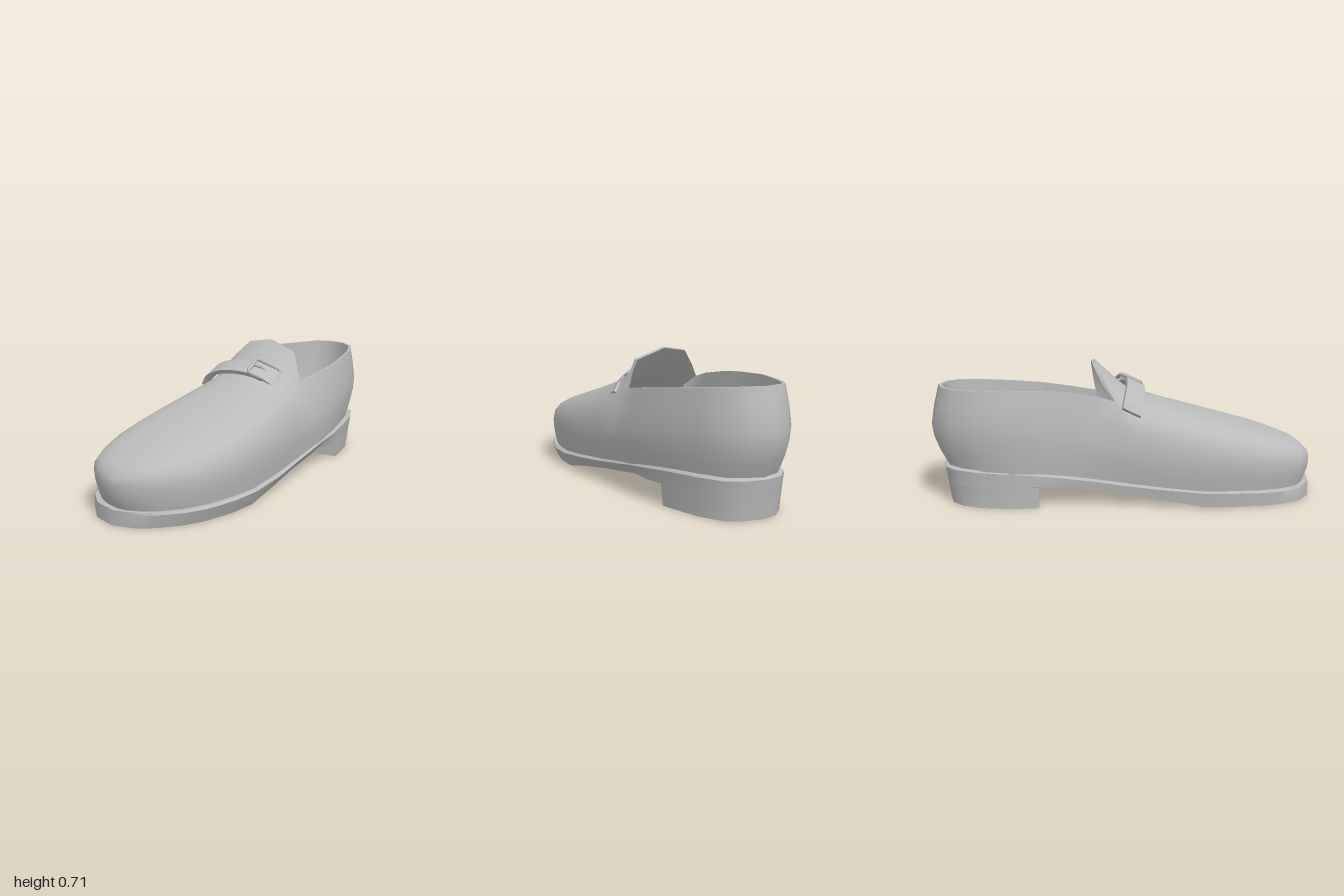
import * as THREE from 'three';
import { mergeGeometries, mergeVertices, toCreasedNormals } from 'three/addons/utils/BufferGeometryUtils.js';

const lerp = THREE.MathUtils.lerp;

// Surface through equal rows of [x, y, z] points
function loft(rows, closed = false) {
  const n = rows[0].length, index = [];
  for (let i = 0; i < rows.length - 1; i++) {
    for (let j = 0; j < (closed ? n : n - 1); j++) {
      const k = (j + 1) % n, a = i * n + j, b = i * n + k;
      index.push(a, b, b + n, a, b + n, a + n);
    }
  }
  const g = new THREE.BufferGeometry();
  g.setAttribute('position', new THREE.Float32BufferAttribute(rows.flat(2), 3));
  g.setIndex(index);
  return g;
}

// Fills a ring by bridging its right points to its left points
function cap(ring, up) {
  const n = ring.length, rows = [];
  for (let k = 0; k <= n / 2; k++) {
    const l = ring[(n - k) % n], r = ring[k];
    rows.push(up ? [l, r] : [r, l]);
  }
  return loft(rows);
}

// Piecewise linear lookup in a table of [z, value], z falling
function interp(table, z) {
  if (z >= table[0][0]) return table[0][1];
  for (let i = 1; i < table.length; i++) {
    const [z0, v0] = table[i - 1], [z1, v1] = table[i];
    if (z >= z1) return lerp(v0, v1, (z - z0) / (z1 - z0));
  }
  return table[table.length - 1][1];
}

const soleTop = z => interp([[1, 0.065], [0.4, 0.076], [0.2, 0.093], [0, 0.112], [-0.2, 0.138], [-0.4, 0.165], [-0.6, 0.183], [-0.8, 0.19]], z);
const soleBottom = z => interp([[0.38, 0], [0.15, 0.05], [-0.1, 0.08], [-0.3, 0.105], [-0.42, 0.11]], z);

// Sole outline [x, z]: toe, right side of the plan, heel, back along the other side
const outline = [
  [0, 1], [0.13, 0.955], [0.2, 0.89], [0.27, 0.8], [0.315, 0.7], [0.345, 0.55], [0.347, 0.4], [0.33, 0.2],
  [0.295, 0], [0.275, -0.15], [0.255, -0.3], [0.24, -0.45], [0.195, -0.62], [0.145, -0.77], [0.075, -0.89], [0, -0.93],
  [-0.11, -0.945], [-0.2, -0.92], [-0.27, -0.85], [-0.31, -0.74], [-0.33, -0.6], [-0.315, -0.42], [-0.305, -0.3], [-0.3, -0.15],
  [-0.31, 0], [-0.33, 0.2], [-0.34, 0.4], [-0.335, 0.55], [-0.32, 0.7], [-0.292, 0.81], [-0.242, 0.905], [-0.14, 0.975]];

// Ring of plan points narrowed by k about a pivot, pulling in the heel end too
const ringAt = (points, k, y, pivot = -0.03) => points.map(([px, pz]) => {
  const s = typeof k === 'function' ? k(pz) : k;
  const z = pz < -0.4 ? (pz + 0.4) * s - 0.4 : pz;
  return [(px - pivot) * s + pivot, typeof y === 'function' ? y(z) : y, z];
});

// Upper: lower side from base to widest point, shared by front and rear
const STEPS = 3;
function lowerSide(mx, my, mz) {
  const bx = mz < -0.4 ? (mx + 0.06) * 0.92 - 0.06 : mx * 0.94;
  const bz = mz < -0.4 ? (mz + 0.4) * 0.88 - 0.4 : mz - 0.05 * Math.max(0, mz - 0.4);
  const by = soleTop(bz);
  return Array.from({ length: STEPS + 1 }, (_, i) => {
    const t = i / STEPS, s = Math.sin(t * Math.PI / 2);
    return [lerp(bx, mx, s), lerp(by, my, t), lerp(bz, mz, s)];
  });
}

// Front cross-sections: z, left x, right x, widest height, top height
const frontSections = [
  [0.998, 0, 0, 0.17, 0.2], [0.987, -0.085, 0.06, 0.18, 0.225], [0.955, -0.165, 0.125, 0.19, 0.257],
  [0.91, -0.23, 0.18, 0.2, 0.287], [0.82, -0.282, 0.255, 0.21, 0.322], [0.7, -0.32, 0.305, 0.22, 0.362],
  [0.55, -0.341, 0.337, 0.235, 0.402], [0.4, -0.35, 0.345, 0.25, 0.443], [0.2, -0.335, 0.327, 0.26, 0.5],
  [0.02, -0.312, 0.3, 0.28, 0.557]];

// The inner side is squarer at the shoulder than the outer side
function frontHalf(z, mx, my, top) {
  const pts = lowerSide(mx, my, z), e = mx < 0 ? 0.7 : 0.8;
  for (let i = 1; i <= 5; i++) {
    const a = i / 5 * Math.PI / 2;
    pts.push([mx * Math.max(0, Math.cos(a)) ** e, my + (top - my) * Math.sin(a) ** e, z]);
  }
  return pts;
}

// Rear wall around the heel: widest point x, z, y then rim x, z, y
const rear = [
  [0.28, -0.15, 0.3, 0.21, -0.14, 0.51], [0.265, -0.3, 0.32, 0.215, -0.3, 0.535], [0.247, -0.45, 0.35, 0.212, -0.44, 0.555],
  [0.2, -0.62, 0.38, 0.17, -0.62, 0.575], [0.145, -0.78, 0.4, 0.125, -0.77, 0.59], [0.07, -0.925, 0.4, 0.06, -0.885, 0.6],
  [-0.01, -0.977, 0.4, -0.015, -0.935, 0.605], [-0.11, -1, 0.4, -0.11, -0.955, 0.605], [-0.21, -0.96, 0.4, -0.2, -0.925, 0.605],
  [-0.28, -0.88, 0.41, -0.255, -0.86, 0.6], [-0.33, -0.75, 0.42, -0.3, -0.74, 0.6], [-0.35, -0.6, 0.42, -0.315, -0.6, 0.605],
  [-0.325, -0.42, 0.39, -0.3, -0.42, 0.6], [-0.305, -0.3, 0.37, -0.28, -0.3, 0.59], [-0.3, -0.15, 0.34, -0.262, -0.15, 0.565],
  [-0.304, -0.06, 0.31, -0.255, -0.05, 0.535]];

// Raised edge of the tongue, from left x to right x
const tongue = [[-0.205, 0.61, -0.09], [-0.13, 0.695, -0.14], [0, 0.715, -0.155], [0.16, 0.66, -0.155], [0.185, 0.585, -0.145]];

function rearColumn([mx, mz, my, rx, rz, ry]) {
  const mid = (m, r) => (m + r) / 2 + 0.1 * (m - r);
  return [...lowerSide(mx, my, mz), [mid(mx, rx), (my + ry) / 2, mid(mz, rz)], [rx, ry, rz]];
}

function buildUpper() {
  const columns = rear.map(rearColumn);
  const rows = frontSections.map(([z, l, r, my, top]) =>
    [...frontHalf(z, l, my, top), ...frontHalf(z, r, my, top).slice(0, -1).reverse()]);
  rows.push([...columns[columns.length - 1], ...tongue, ...[...columns[0]].reverse()]);
  const wall = columns[0].map((_, i) => columns.map(c => c[i]));
  const g = mergeVertices(mergeGeometries([loft(rows), loft(wall)]), 1e-4);
  return toCreasedNormals(g, 1.2);
}

// Rim thickness, inner wall and the underside of the tongue
function buildLining() {
  const ring = (kx, kz, wallY, tx, ty, tz) => [
    ...rear.map(([, , , x, z, y]) =>
      [(x + 0.05) * kx - 0.05, wallY ?? y, z < -0.4 ? (z + 0.4) * kz - 0.4 : z]),
    ...tongue.map(([x, y, z]) => [x * tx, y + ty, z + tz])];
  return toCreasedNormals(loft([
    ring(1, 1, null, 1, 0, 0), ring(0.96, 0.97, null, 0.97, -0.005, -0.018),
    ring(0.96, 0.94, 0.45, 0.97, -0.13, 0.09), ring(0.95, 0.84, 0.25, 1.2, -0.26, 0.38)], true), 0.8);
}

// Flat band following a path over the instep
function buildStrap() {
  const path = new THREE.CatmullRomCurve3([
    [-0.288, 0.485, 0.03], [-0.25, 0.532, 0.04], [-0.15, 0.575, 0.055], [0, 0.588, 0.055],
    [0.1, 0.566, 0.03], [0.18, 0.516, 0], [0.235, 0.463, -0.035]].map(p => new THREE.Vector3(...p)));
  const across = new THREE.Vector3(0, -0.022, 0.045);
  const rows = path.getPoints(20).map((p, i) => {
    const up = across.clone().cross(path.getTangent(i / 20)).normalize().multiplyScalar(0.011);
    return [[1, -1], [1, 1], [-1, 1], [-1, -1]].map(([w, h]) =>
      p.clone().addScaledVector(across, w).addScaledVector(up, h).toArray());
  });
  const ends = [[rows[0], 1], [rows[20], 0]].map(([r, first]) =>
    loft(first ? [[r[0], r[3]], [r[1], r[2]]] : [[r[3], r[0]], [r[2], r[1]]]));
  return toCreasedNormals(mergeGeometries([loft(rows, true), ...ends]), 0.6);
}

// Round bar along straight pieces
function bar(points, radius, closed) {
  const v = points.map(p => new THREE.Vector3(...p));
  const curve = new THREE.CatmullRomCurve3(v, closed, 'catmullrom', 0.1);
  return new THREE.TubeGeometry(curve, closed ? 48 : 8, radius, 8, closed);
}

export function createModel() {
  const shoe = new THREE.Group();
  shoe.name = 'shoe';
  const leather = new THREE.MeshStandardMaterial({ color: 0xbbbbbb, side: THREE.DoubleSide });
  leather.name = 'grey leather';
  const add = (name, geometry) => {
    const mesh = new THREE.Mesh(geometry, leather);
    mesh.name = name;
    shoe.add(mesh);
  };

  add('upper', buildUpper());
  add('lining', buildLining());

  // Sole with a bevelled welt, narrower underneath
  const PIVOT = -0.2;
  const bottom = ringAt(outline, z => (z < -0.3 ? 0.975 : 0.935), soleBottom, PIVOT);
  const edge = ringAt(outline, 1, soleTop);
  const welt = ringAt(outline, 0.97, z => soleTop(z) + 0.01);
  add('sole', toCreasedNormals(mergeGeometries([
    loft([bottom, edge, welt], true), cap(bottom, false), cap(welt, true)]), 0.6));

  // Heel block with a slanted front face
  const heelPlan = [[-0.06, -0.49], [0.215, -0.54], ...outline.slice(12, 21), [-0.32, -0.44]];
  const heelLow = ringAt(heelPlan, 0.945, 0, PIVOT), heelHigh = ringAt(heelPlan, 0.975, 0.11, PIVOT);
  add('heel', toCreasedNormals(mergeGeometries([
    loft([heelLow, heelHigh], true), cap(heelLow, false)]), 0.6));

  // Insole inside the opening
  const insolePlan = outline.map(([x, z]) => [(x + 0.03) * 0.9 - 0.03, (z + 0.3) * 0.88 - 0.3]);
  add('insole', toCreasedNormals(cap(ringAt(insolePlan, 1, z => soleTop(z) + 0.07), true), 0.6));

  // Strap and buckle
  add('strap', buildStrap());
  const corners = [[0.02, 0.632, -0.01], [0.045, 0.578, 0.1], [0.17, 0.515, 0.03], [0.15, 0.575, -0.05]];
  const frame = corners.flatMap((c, i) => {
    const next = corners[(i + 1) % 4];
    return [0.1, 0.5, 0.9].map(t => c.map((v, a) => lerp(v, next[a], t)));
  });
  add('buckleFrame', bar(frame, 0.011, true));
  add('buckleProng', bar([[0.11, 0.57, 0.015], [0.08, 0.596, 0.025], [0.035, 0.608, 0.045]], 0.009, false));
  return shoe;
}
